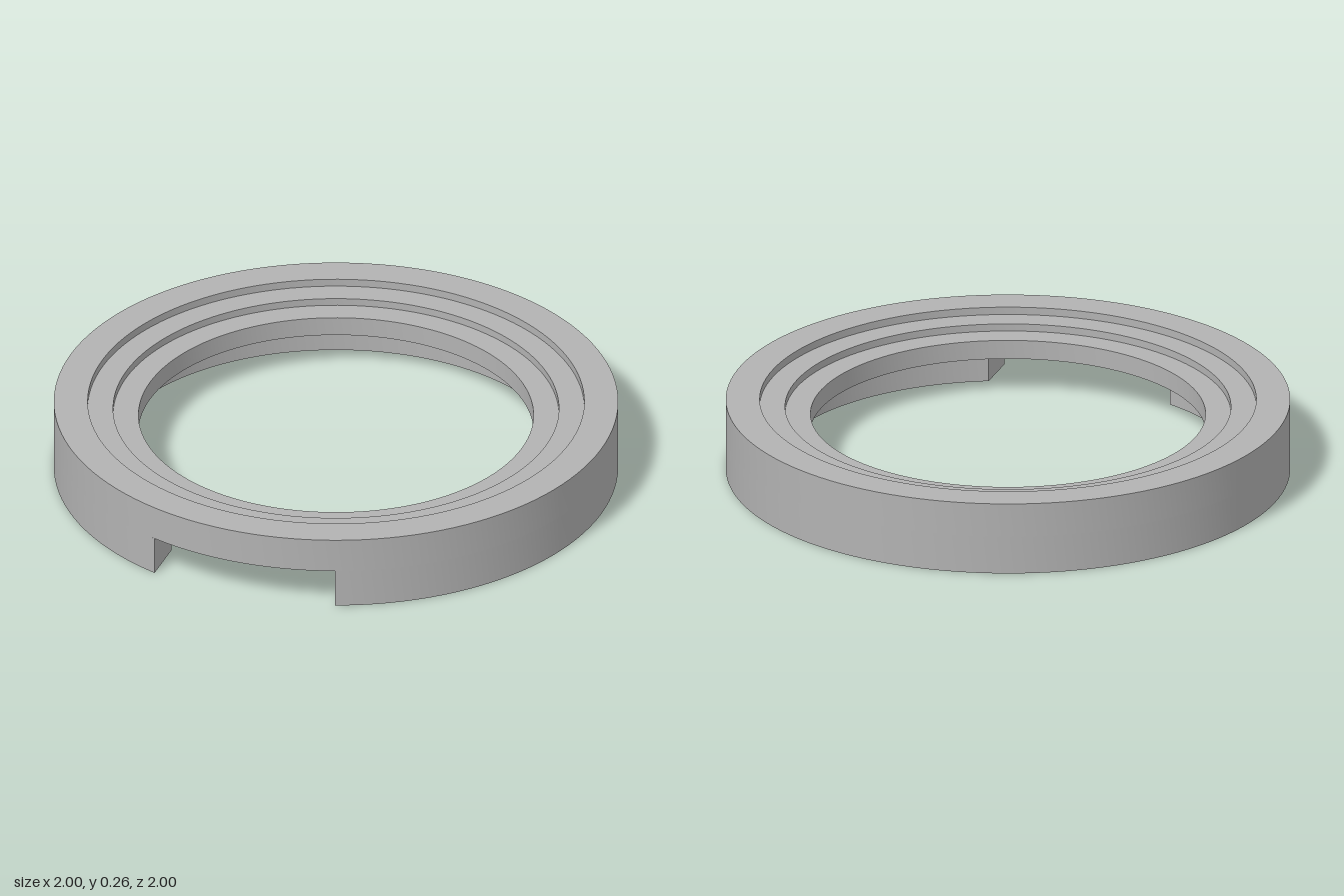
import * as THREE from 'three';
import { toCreasedNormals } from 'three/addons/utils/BufferGeometryUtils.js';

const SEGMENTS = 128;
const LEDGE_Y = 0.14;      // height of the lower wall and of the front notch
const NOTCH_HALF = 0.34;   // half width of the front notch

// Arc around the ring that stops at the parallel notch walls (angle 0 = front)
function openArc(radius) {
  const start = Math.asin(NOTCH_HALF / radius);
  const angles = [start];
  for (let i = 1; i < SEGMENTS; i++) {
    const a = (i / SEGMENTS) * Math.PI * 2;
    if (a > start + 0.005 && a < Math.PI * 2 - start - 0.005) angles.push(a);
  }
  angles.push(Math.PI * 2 - start);
  return angles.map(a => new THREE.Vector2(radius * Math.sin(a), -radius * Math.cos(a)));
}

export function createModel() {
  const group = new THREE.Group();
  group.name = 'adapterRing';
  const grey = new THREE.MeshStandardMaterial({ color: 0xb2b2b2 });
  grey.name = 'grey';

  const add = (name, geometry) => {
    const mesh = new THREE.Mesh(toCreasedNormals(geometry, Math.PI / 6), grey);
    mesh.name = name;
    group.add(mesh);
  };

  // Upper ring with two stepped ledges leading down to the bore
  const profile = [
    [0.7, LEDGE_Y], [1, LEDGE_Y], [1, 0.265], [0.88, 0.265], [0.88, 0.237],
    [0.79, 0.237], [0.79, 0.21], [0.7, 0.21], [0.7, LEDGE_Y],
  ].map(([x, y]) => new THREE.Vector2(x, y));
  add('steppedRing', new THREE.LatheGeometry(profile, SEGMENTS));

  // Lower wall, open at the front notch, with four blind holes from below
  const wall = new THREE.Shape([...openArc(1), ...openArc(0.84).reverse()]);
  for (let i = 0; i < 4; i++) {
    const a = Math.PI / 4 + (i * Math.PI) / 2;
    const hole = new THREE.Path();
    hole.absarc(0.917 * Math.cos(a), 0.917 * Math.sin(a), 0.032, 0, Math.PI * 2, true);
    wall.holes.push(hole);
  }
  const wallGeometry = new THREE.ExtrudeGeometry(wall, {
    depth: LEDGE_Y, bevelEnabled: false, curveSegments: 24,
  });
  wallGeometry.rotateX(-Math.PI / 2);
  add('lowerWall', wallGeometry);

  return group;
}
